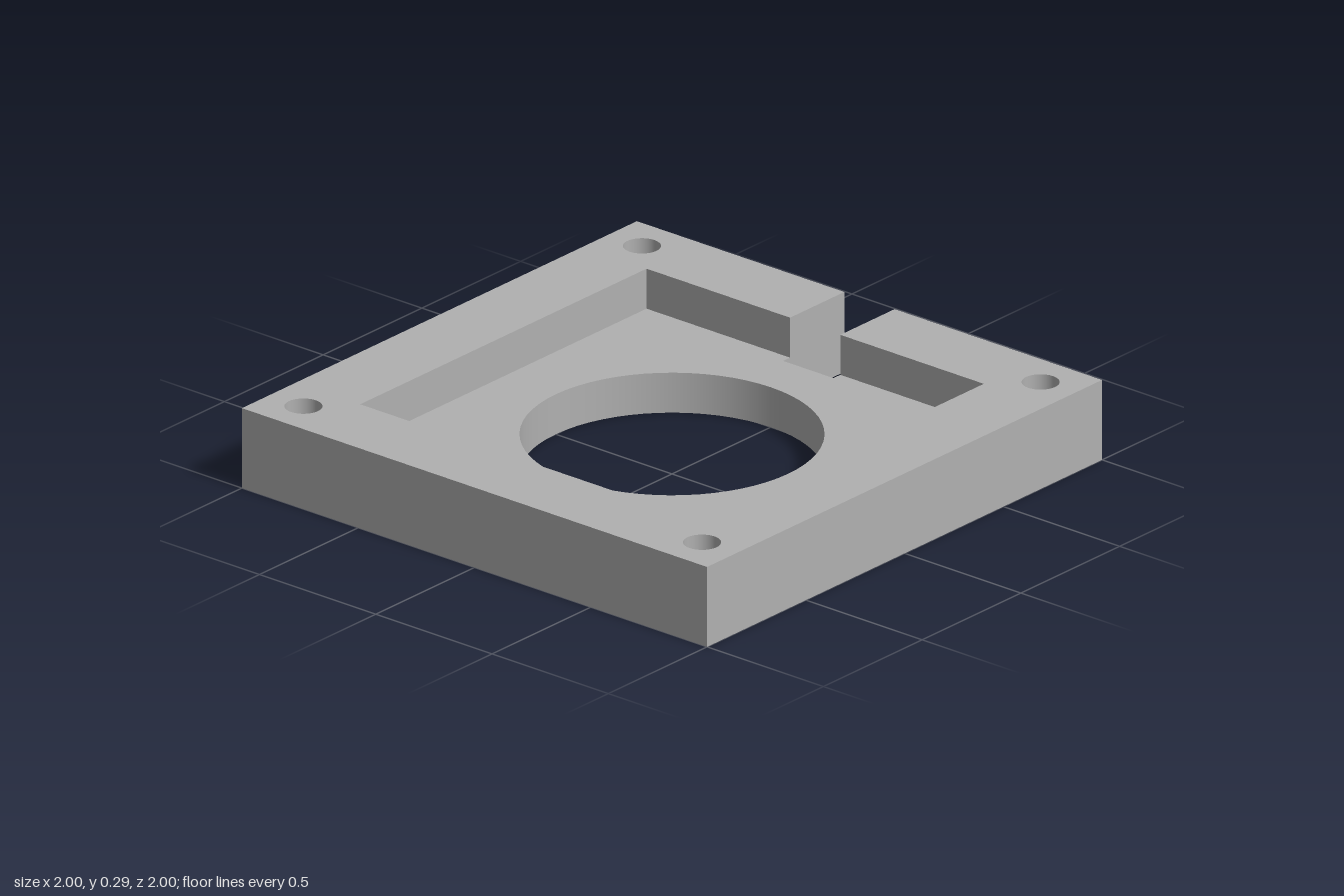
import * as THREE from 'three';

// Plan outlines use (x, v) with v = -z, so the slot at the back is at +v.
const HEIGHT = 0.286, FLOOR = 0.143;
const P = 0.725;              // pocket half width
const S = 0.108, D = 0.69;    // slot half width and inner end
const BORE = 0.5, BOLT = 0.0625, BOLT_POS = 0.857;
const BOLTS = [[-1, -1], [1, -1], [1, 1], [-1, 1]].map(([a, b]) => [a * BOLT_POS, b * BOLT_POS]);

// Flat horizontal face with round holes, at height y
function cap(points, holes, y, faceDown = false) {
  const shape = new THREE.Shape(points.map(p => new THREE.Vector2(...p)));
  for (const [x, v, r] of holes) {
    shape.holes.push(new THREE.Path().absarc(x, v, r, 0, Math.PI * 2, true));
  }
  const geo = new THREE.ShapeGeometry(shape, 32);
  geo.rotateX(-Math.PI / 2).translate(0, y, 0);
  if (faceDown) {
    geo.index.array.reverse();
    geo.computeVertexNormals();
  }
  return geo;
}

// Vertical faces along a plan path, facing to the right of travel
function wall(points, y0, y1) {
  const pos = [];
  for (let i = 0; i < points.length - 1; i++) {
    const [ax, av] = points[i], [bx, bv] = points[i + 1];
    pos.push(ax, y0, -av, bx, y0, -bv, bx, y1, -bv);
    pos.push(ax, y0, -av, bx, y1, -bv, ax, y1, -av);
  }
  const geo = new THREE.BufferGeometry();
  geo.setAttribute('position', new THREE.Float32BufferAttribute(pos, 3));
  geo.computeVertexNormals();
  return geo;
}

// Smooth inward-facing hole wall
function bore(r, height) {
  return new THREE.LatheGeometry([new THREE.Vector2(r, height), new THREE.Vector2(r, 0)], 64);
}

export function createModel() {
  const model = new THREE.Group();
  model.name = 'mountingPlate';
  const grey = new THREE.MeshStandardMaterial({ color: 0xb0b0b0 });
  grey.name = 'grey';
  const add = (name, geo, x = 0, z = 0) => {
    const mesh = new THREE.Mesh(geo, grey);
    mesh.name = name;
    mesh.position.set(x, 0, z);
    model.add(mesh);
  };

  const outer = [[-S, 1], [-1, 1], [-1, -1], [1, -1], [1, 1], [S, 1]];
  const slotEnd = [[S, P], [S, D], [-S, D], [-S, P]];
  const pocket = [[S, P], [P, P], [P, -P], [-P, -P], [-P, P], [-S, P]];
  const boltHoles = BOLTS.map(([x, v]) => [x, v, BOLT]);
  const centreHole = [0, 0, BORE];

  // Horizontal faces: underside, pocket floor and raised rim
  add('underside', cap([...outer, [S, D], [-S, D]], [...boltHoles, centreHole], 0, true));
  add('pocketFloor', cap([[-P, P], [-P, -P], [P, -P], [P, P], ...slotEnd], [centreHole], FLOOR));
  add('rimTop', cap([...outer, ...pocket], boltHoles, HEIGHT));

  // Vertical faces: outside with slot sides, slot end and pocket
  add('outerWalls', wall([[-S, P], ...outer, [S, P]], 0, HEIGHT));
  add('slotEnd', wall(slotEnd, 0, FLOOR));
  add('pocketWalls', wall(pocket, FLOOR, HEIGHT));

  // Round holes
  add('centreBore', bore(BORE, FLOOR));
  for (const [x, v] of BOLTS) add('boltHole', bore(BOLT, HEIGHT), x, -v);

  return model;
}
